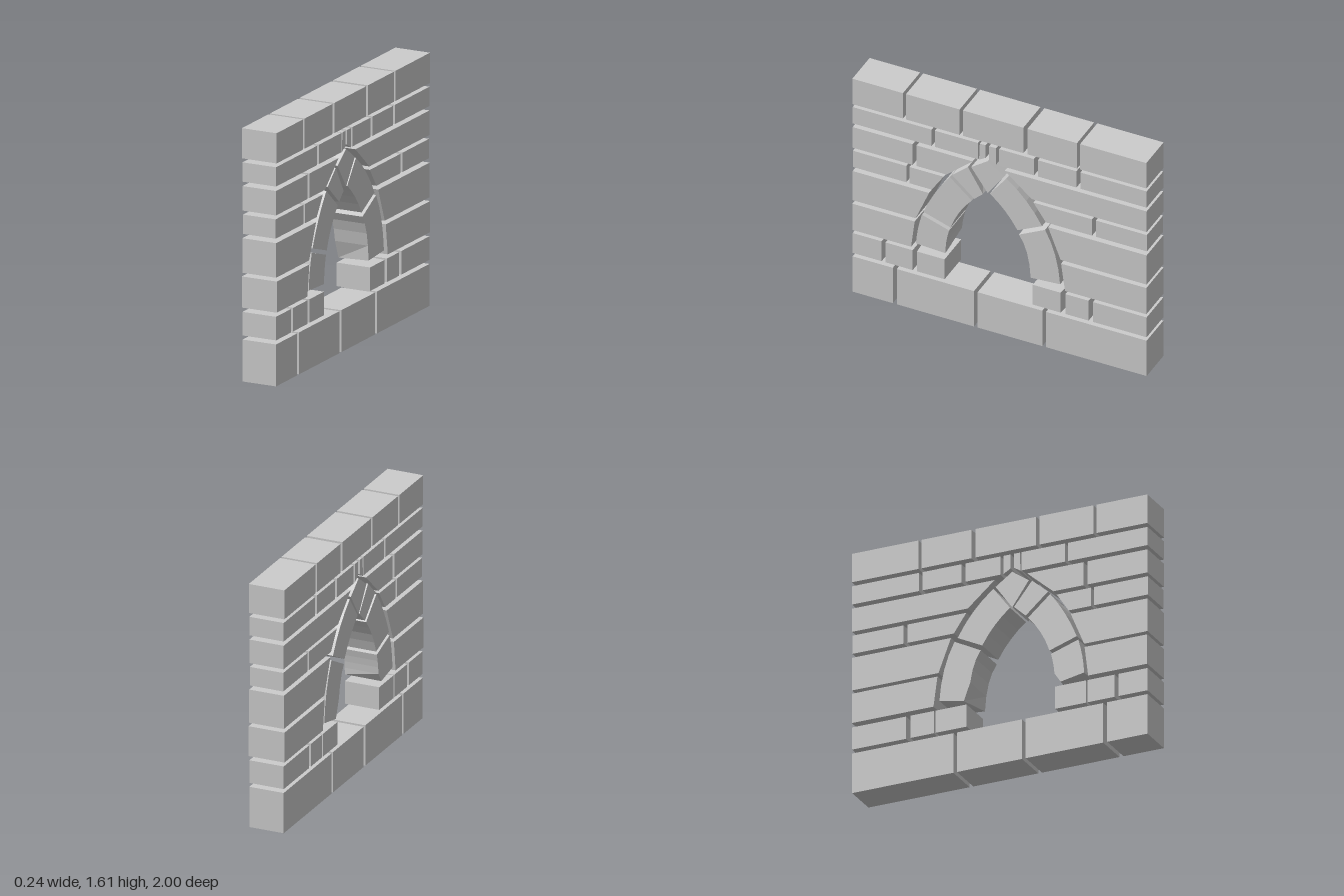
import * as THREE from 'three';

const material = new THREE.MeshStandardMaterial({ color: 0xcccccc, flatShading: true });

// Stone whose outline lies in the (z, y) plane; near is its +x face, far its -x face.
function stone(name, half, near, far = near) {
  let n = near.map(([z, y]) => new THREE.Vector2(z, y));
  let f = far.map(([z, y]) => new THREE.Vector2(z, y));
  if (THREE.ShapeUtils.isClockWise(n)) {
    n.reverse();
    f.reverse();
  }
  const pos = [];
  const N = (i) => pos.push(half, n[i].y, n[i].x);
  const F = (i) => pos.push(-half, f[i].y, f[i].x);
  for (const [a, b, c] of THREE.ShapeUtils.triangulateShape(n, [])) {
    N(a); N(c); N(b);
    F(a); F(b); F(c);
  }
  for (let a = 0; a < n.length; a++) {
    const b = (a + 1) % n.length;
    F(a); N(a); N(b);
    F(a); N(b); F(b);
  }
  const geometry = new THREE.BufferGeometry();
  geometry.setAttribute('position', new THREE.Float32BufferAttribute(pos, 3));
  geometry.computeVertexNormals();
  const mesh = new THREE.Mesh(geometry, material);
  mesh.name = name;
  return mesh;
}

// Points of a shallow curve through a, m and b.
function bow(a, m, b) {
  const ctrl = m.map((v, i) => 2 * v - (a[i] + b[i]) / 2);
  return new THREE.QuadraticBezierCurve(new THREE.Vector2(...a), new THREE.Vector2(...ctrl), new THREE.Vector2(...b))
    .getPoints(4).map((p) => [p.x, p.y]);
}

// Each course: bottom, top, half thickness, then bricks as
// [z start, z end] or [bottom start, bottom end, top start, top end]
const COURSES = [
  [0, 0.267, 0.116, [[1, 0.727], [0.7, 0.175], [0.15, -0.29], [-0.315, -1]]],
  [0.293, 0.443, 0.116, [[1, 0.803], [0.777, 0.592], [-0.447, -0.605], [-0.635, -1]]],
  [0.47, 0.668, 0.121, [[1, 0.6, 1, 0.576], [-0.447, -1, -0.42, -1]]],
  [0.692, 0.912, 0.117, [[1, 0.571, 1, 0.48], [-0.415, -1, -0.33, -1]]],
  [0.94, 1.063, 0.113, [[1, 0.637], [0.615, 0.464, 0.615, 0.383], [-0.313, -0.627, -0.228, -0.627], [-0.653, -1]]],
  [1.088, 1.244, 0.116, [[1, 0.592], [0.565, 0.362, 0.565, 0.185], [-0.217, -1, -0.035, -1]]],
  [1.272, 1.395, 0.116, [[1, 0.463], [0.441, 0.148], [0.003, -0.233], [-0.26, -0.522], [-0.549, -1]]],
  [1.42, 1.612, 0.12, [[1, 0.656], [0.635, 0.27], [0.248, -0.163], [-0.19, -0.528], [-0.549, -1]]],
];

export function createModel() {
  const wall = new THREE.Group();
  wall.name = 'stoneWallWithArch';

  // Brick courses
  COURSES.forEach(([y0, y1, half, bricks], row) => {
    const course = new THREE.Group();
    course.name = `course${row + 1}`;
    for (const [b0, b1, t0 = b0, t1 = b1] of bricks) {
      course.add(stone('brick', half, [[b0, y0], [b1, y0], [t1, y1], [t0, y1]]));
    }
    wall.add(course);
  });

  // Two slivers filling the course above the keystone
  wall.add(stone('sliver', 0.116, [[0.14, 1.272], [0.095, 1.3], [0.095, 1.395], [0.135, 1.395]]));
  wall.add(stone('sliver', 0.116, [[0.072, 1.3], [0.024, 1.272], [0.024, 1.395], [0.072, 1.395]]));

  // Jamb stones under the arch, a little wider on the far side
  const box = (a, b) => [[a, 0.293], [b, 0.293], [b, 0.443], [a, 0.443]];
  wall.add(stone('jamb', 0.116, box(0.562, 0.375), box(0.582, 0.375)));
  wall.add(stone('jamb', 0.116, box(-0.225, -0.415), box(-0.225, -0.435)));

  // Arch stones: outer curve going up, then inner curve going down
  const arch = new THREE.Group();
  arch.name = 'arch';
  const half = 0.114;
  const voussoir = (outer, inner, farFoot) => {
    const near = [...bow(...outer), ...bow(...inner)];
    const far = near.slice();
    if (farFoot) far[far.length - 1] = farFoot;
    arch.add(stone('archStone', half, near, far));
  };
  voussoir([[0.57, 0.5], [0.557, 0.616], [0.53, 0.73]], [[0.345, 0.67], [0.364, 0.579], [0.37, 0.49]], [0.41, 0.47]);
  voussoir([[0.52, 0.755], [0.44, 0.925], [0.34, 1.075]], [[0.19, 0.945], [0.275, 0.83], [0.335, 0.695]]);
  voussoir([[-0.287, 0.904], [-0.18, 1.06], [-0.045, 1.187]], [[0.068, 1.037], [-0.035, 0.94], [-0.12, 0.82]]);
  voussoir([[-0.41, 0.504], [-0.378, 0.707], [-0.308, 0.883]], [[-0.13, 0.79], [-0.185, 0.67], [-0.21, 0.49]], [-0.245, 0.47]);
  arch.add(stone('archStone', half,
    [[0.325, 1.095], [0.217, 1.19], [0.115, 1.018], [0.174, 0.963]],
    [[0.325, 1.095], [0.217, 1.19], [0.095, 1.037], [0.174, 0.963]]));
  arch.add(stone('keystone', half, [[0.083, 1.277], [-0.03, 1.197], [0.083, 1.037], [0.195, 1.197]]));
  wall.add(arch);

  return wall;
}
